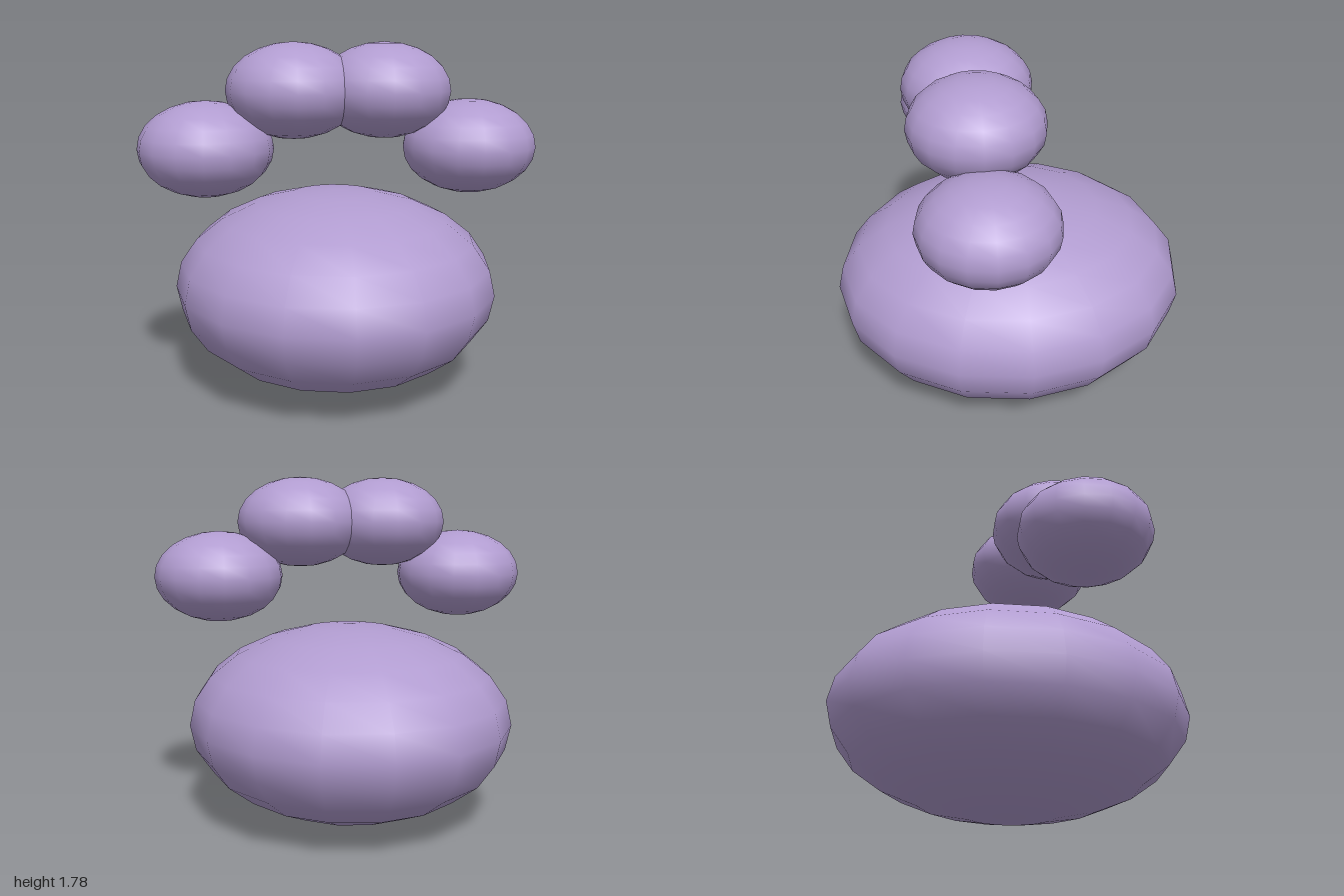
import * as THREE from 'three';

export function createModel() {
  const group = new THREE.Group();
  const material = new THREE.MeshStandardMaterial({ color: 0xb19cd0 });
  const sphere = new THREE.SphereGeometry(1, 16, 12);

  // A sphere squashed to the given half-sizes
  function addPad(name, position, radii) {
    const mesh = new THREE.Mesh(sphere, material);
    mesh.name = name;
    mesh.position.set(...position);
    mesh.scale.set(...radii);
    group.add(mesh);
  }

  // Large main pad
  addPad('mainPad', [0, 0.511, 0], [0.845, 0.508, 0.93]);

  // Two toe pads on each side, in an arch above the main pad
  const toeRadii = [0.337, 0.237, 0.337];
  for (const [side, sx] of [['left', 1], ['right', -1]]) {
    addPad(side + 'InnerToe', [sx * 0.225, 1.55, 0.187], toeRadii);
    addPad(side + 'OuterToe', [sx * 0.662, 1.267, 0.187], toeRadii);
  }
  return group;
}
